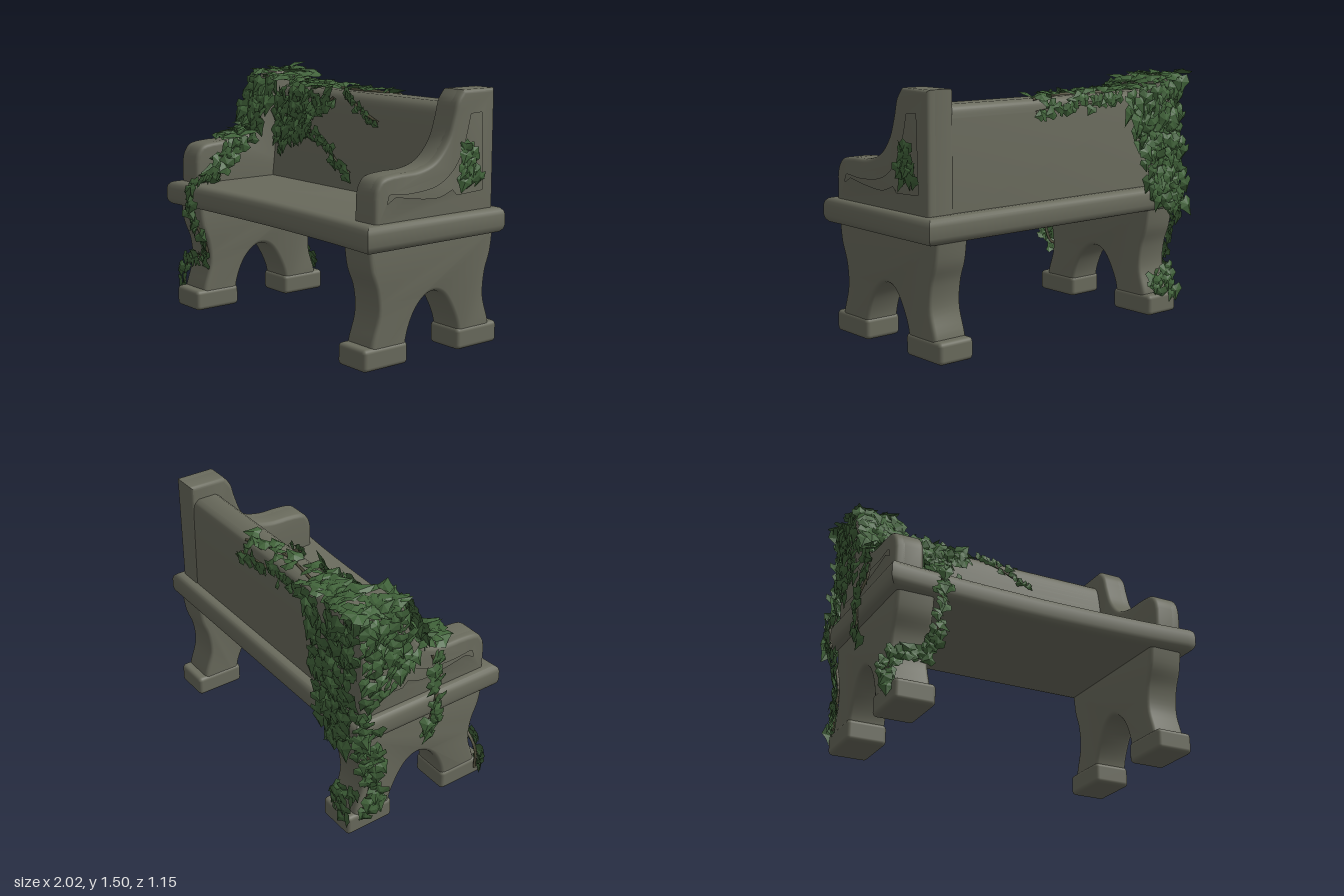
import * as THREE from 'three';
import { toCreasedNormals, mergeGeometries } from 'three/addons/utils/BufferGeometryUtils.js';
import { RoundedBoxGeometry } from 'three/addons/geometries/RoundedBoxGeometry.js';

const stone = new THREE.MeshStandardMaterial({ name: 'weathered stone', color: 0x6a6b5d });
const leafGreen = new THREE.MeshStandardMaterial({ name: 'ivy green', color: 0x41633a, side: THREE.DoubleSide, flatShading: true });
const stemBrown = new THREE.MeshStandardMaterial({ name: 'ivy stem', color: 0x55533f });

let seed = 7;
const rnd = () => (seed = (seed * 16807) % 2147483647) / 2147483647;
const jit = (a) => (rnd() * 2 - 1) * a;
const V = (p) => new THREE.Vector3(...p);

function mesh(name, geometry, material) {
  const m = new THREE.Mesh(geometry, material);
  m.name = name;
  return m;
}

// Outline entries are [a, b] corners, or lists of such points to pass a spline through
function trace(path, items, sign) {
  const pt = (p) => new THREE.Vector2(p[0] * sign, p[1]);
  items.forEach((it, i) => {
    const list = Array.isArray(it[0]) ? it : [it];
    if (i === 0) path.moveTo(pt(list[0]).x, list[0][1]);
    else path.lineTo(pt(list[0]).x, list[0][1]);
    if (list.length > 1) path.splineThru(list.slice(1).map(pt));
  });
  path.closePath();
  return path;
}

function extrude(shape, depth, bevel) {
  return new THREE.ExtrudeGeometry(shape, {
    depth: depth - 2 * bevel, bevelEnabled: true, bevelThickness: bevel, bevelSize: bevel,
    bevelOffset: -bevel, bevelSegments: 3, curveSegments: 4,
  }).translate(0, 0, bevel);
}

// Extrudes a side outline of [z, y] points from x0 to x1
function sideSolid(items, x0, x1, bevel, hole) {
  const shape = trace(new THREE.Shape(), items, -1);
  if (hole) shape.holes.push(trace(new THREE.Path(), hole, -1));
  const g = extrude(shape, x1 - x0, bevel).rotateY(Math.PI / 2).translate(x0, 0, 0);
  return toCreasedNormals(g, 0.65);
}

const legOutline = [
  [[0.45, 0.02], [0.44, 0.13], [0.395, 0.28], [0.405, 0.42], [0.45, 0.54], [0.47, 0.68]],
  [[-0.46, 0.68], [-0.44, 0.54], [-0.4, 0.42], [-0.39, 0.28], [-0.435, 0.13], [-0.44, 0.02]],
  [[-0.2, 0.02], [-0.185, 0.15], [-0.13, 0.27], [-0.07, 0.345], [0, 0.37],
    [0.07, 0.345], [0.14, 0.27], [0.19, 0.15], [0.205, 0.02]],
];
const armOutline = [
  [0.445, 0.77],
  [[0.445, 0.92], [0.43, 0.98], [0.385, 1.03], [0.28, 1.045], [0.14, 1.05], [0.02, 1.09],
    [-0.07, 1.19], [-0.115, 1.31], [-0.14, 1.4], [-0.185, 1.46]],
  [-0.42, 1.46], [-0.42, 0.77],
];
const panelOutline = [
  [0.38, 0.87],
  [[0.375, 0.94], [0.34, 0.965], [0.2, 0.955], [0.02, 0.975], [-0.1, 1.05], [-0.17, 1.17], [-0.22, 1.35]],
  [-0.34, 1.355], [-0.355, 0.88], [-0.13, 0.87],
  [[-0.1, 0.9], [0, 0.87], [0.15, 0.88], [0.3, 0.905]],
];

// Leaf rim, tip pointing down
const rim = [[0, 0.32], [0.34, 0.45], [0.5, 0.05], [0.26, -0.2], [0, -0.65], [-0.28, -0.18], [-0.5, 0.08], [-0.32, 0.42]];

function addLeaf(out, p, n, down, size) {
  const normal = n.clone().add(V([jit(0.4), jit(0.4), jit(0.4)])).normalize();
  const up = down.clone().negate().add(V([jit(0.6), jit(0.6), jit(0.6)]));
  up.addScaledVector(normal, -up.dot(normal)).normalize();
  const m = new THREE.Matrix4().makeBasis(up.clone().cross(normal), up, normal);
  const s = size * (0.75 + rnd() * 0.5);
  m.scale(V([s, s, s])).setPosition(p);
  const at = (a, z) => V([a[0], a[1], z]).applyMatrix4(m);
  const mid = at([0, 0], 0.14);
  rim.forEach((a, i) => {
    const b = rim[(i + 1) % rim.length];
    for (const v of [mid, at(b, 0), at(a, 0)]) out.push(v.x, v.y, v.z);
  });
}

function leafMesh(name, out) {
  const g = new THREE.BufferGeometry();
  g.setAttribute('position', new THREE.Float32BufferAttribute(out, 3));
  g.computeVertexNormals();
  return mesh(name, g, leafGreen);
}

// Scatters leaves over a four-cornered patch (a-b upper edge, d-c lower edge)
function patch(name, [a, b, c, d], n, count, size, lift = 0.035) {
  const out = [], normal = V(n).normalize();
  const down = V(d).sub(V(a)).normalize();
  for (let i = 0; i < count; i++) {
    const u = (i * 0.618) % 1, v = (i + rnd()) / count;
    const p = V(a).lerp(V(b), u).lerp(V(d).lerp(V(c), u), v);
    p.addScaledVector(normal, 0.008 + rnd() * lift);
    addLeaf(out, p, normal, down, size);
  }
  return leafMesh(name, out);
}

// A stem with leaves on both sides
function strand(name, pts, n, count, size, spread) {
  const g = new THREE.Group(), out = [], normal = V(n).normalize();
  g.name = name;
  const curve = new THREE.CatmullRomCurve3(pts.map(V));
  g.add(mesh('stem', new THREE.TubeGeometry(curve, 20, 0.009, 5), stemBrown));
  for (let i = 0; i < count; i++) {
    const t = (i + 0.5) / count, dir = curve.getTangentAt(t);
    const p = curve.getPointAt(t).addScaledVector(dir.clone().cross(normal), jit(spread));
    addLeaf(out, p.addScaledVector(normal, 0.008 + rnd() * 0.015), normal, dir, size);
  }
  g.add(leafMesh('strandLeaves', out));
  return g;
}

export function createModel() {
  const bench = new THREE.Group();
  bench.name = 'ivyBench';

  // Seat slab with a gently hollowed front edge
  const plan = trace(new THREE.Shape(), [
    [-0.955, 0.48], [[-0.955, -0.53], [-0.6, -0.505], [0, -0.485], [0.6, -0.5], [1, -0.53]], [1, 0.48],
  ], 1);
  const seat = extrude(plan, 0.15, 0.045).rotateX(-Math.PI / 2).translate(0, 0.645, 0);
  bench.add(mesh('seat', toCreasedNormals(seat, 0.65), stone));

  // Leaning backrest
  bench.add(mesh('backrest', sideSolid([
    [-0.135, 0.77], [[-0.16, 1.0], [-0.195, 1.25], [-0.22, 1.34], [-0.26, 1.375]],
    [[-0.37, 1.375], [-0.4, 1.35], [-0.41, 1.3]], [-0.415, 0.77],
  ], -0.78, 0.82, 0.012), stone));

  // Arched end supports, feet and armrests
  for (const [side, leg0, leg1, arm0, arm1] of [['right', -0.905, -0.665, -0.91, -0.735], ['left', 0.715, 0.945, 0.785, 0.96]]) {
    const end = new THREE.Group();
    end.name = side + 'End';
    end.add(mesh('archedLeg', sideSolid(legOutline, leg0 + 0.008, leg1 - 0.008, 0.022), stone));
    const feet = [0.345, -0.335].map((z) =>
      new RoundedBoxGeometry(leg1 - leg0, 0.125, 0.312, 3, 0.025).translate((leg0 + leg1) / 2, 0.0725 - 0.01, z));
    end.add(mesh('feet', mergeGeometries(feet), stone));
    const outer = side === 'left';
    end.add(mesh('armrest', sideSolid(armOutline, arm0 + (outer ? 0 : 0.025), arm1 - (outer ? 0.025 : 0), 0.025), stone));
    const rim0 = outer ? arm1 - 0.08 : arm0;
    end.add(mesh('armPanelFrame', sideSolid(armOutline, rim0, rim0 + 0.08, 0.022, panelOutline), stone));
    bench.add(end);
  }

  // Ivy masses
  const ivy = new THREE.Group();
  ivy.name = 'ivy';
  bench.add(ivy);
  ivy.add(
    patch('postTopIvy', [[-0.93, 1.44, -0.47], [-0.66, 1.41, -0.47], [-0.68, 1.41, -0.14], [-0.93, 1.42, -0.14]], [0, 1, 0], 46, 0.12),
    patch('postFrontIvy', [[-0.93, 1.4, -0.13], [-0.66, 1.4, -0.13], [-0.66, 1.09, 0.0], [-0.93, 1.09, 0.0]], [0, 0.4, 1], 46, 0.11),
    patch('backrestFrontIvy', [[-0.72, 1.36, -0.19], [-0.3, 1.35, -0.2], [-0.36, 1.1, -0.16], [-0.65, 0.95, -0.14]], [0, 0.15, 1], 85, 0.095, 0.05),
    patch('backrestTopIvy', [[-0.7, 1.385, -0.42], [-0.38, 1.375, -0.42], [-0.38, 1.375, -0.22], [-0.7, 1.385, -0.22]], [0, 1, 0], 22, 0.11, 0.015),
    patch('backIvy', [[-0.93, 1.42, -0.43], [-0.45, 1.36, -0.43], [-0.68, 0.68, -0.49], [-0.93, 0.66, -0.49]], [0, 0, -1], 125, 0.1, 0.05),
    patch('outerPostIvy', [[-0.915, 1.42, -0.43], [-0.915, 1.42, -0.16], [-0.915, 1.02, -0.05], [-0.915, 0.84, -0.43]], [-1, 0, 0], 55, 0.1),
    patch('armTopIvy', [[-0.9, 1.1, -0.02], [-0.7, 1.1, -0.02], [-0.68, 1.05, 0.24], [-0.85, 1.05, 0.24]], [0, 1, 0.1], 20, 0.11, 0.015),
    patch('innerArmIvy', [[-0.725, 1.05, 0.05], [-0.725, 1.04, 0.25], [-0.71, 0.83, 0.42], [-0.71, 0.88, 0.28]], [1, 0, 0], 20, 0.1),
    patch('rearFootIvy', [[-0.9, 0.28, -0.41], [-0.7, 0.24, -0.42], [-0.7, 0.13, -0.47], [-0.9, 0.1, -0.49]], [0, 0.2, -1], 16, 0.085, 0.02),
    patch('leftPanelIvy', [[0.95, 1.15, -0.19], [0.95, 1.15, -0.24], [0.95, 0.95, -0.31], [0.95, 0.95, -0.15]], [1, 0, 0], 24, 0.085, 0.015),
  );

  // Trailing strands
  ivy.add(
    strand('longFrontTrail', [[-0.36, 1.13, -0.14], [-0.2, 1.06, -0.14], [-0.06, 0.95, -0.13], [0.06, 0.9, -0.13]], [0, 0, 1], 18, 0.07, 0.035),
    strand('upperFrontTrail', [[-0.1, 1.375, -0.23], [0.02, 1.32, -0.19], [0.15, 1.26, -0.18], [0.27, 1.22, -0.17]], [0, 0, 1], 12, 0.06, 0.025),
    strand('shortFrontTrail', [[-0.33, 1.28, -0.19], [-0.26, 1.27, -0.18], [-0.18, 1.34, -0.2]], [0, 0, 1], 12, 0.085, 0.04),
    strand('topTrail', [[-0.4, 1.38, -0.36], [-0.1, 1.38, -0.32], [0.05, 1.38, -0.34], [0.22, 1.37, -0.4]], [0, 1, 0], 15, 0.09, 0.07),
    strand('rearTopTrail', [[-0.45, 1.34, -0.43], [-0.2, 1.33, -0.43], [0, 1.32, -0.43], [0.22, 1.3, -0.43]], [0, 0.2, -1], 24, 0.075, 0.05),
    strand('seatFrontTrail', [[-0.69, 0.84, 0.3], [-0.68, 0.81, 0.47], [-0.67, 0.77, 0.535], [-0.66, 0.62, 0.53], [-0.65, 0.46, 0.46]], [0, 0.5, 1], 24, 0.085, 0.04),
    strand('frontLegTrail', [[-0.65, 0.46, 0.45], [-0.68, 0.33, 0.41], [-0.83, 0.32, 0.41], [-0.92, 0.22, 0.42], [-0.92, 0.07, 0.43]], [-0.2, 0, 1], 32, 0.08, 0.04),
    strand('outerArmTrail', [[-0.92, 1.04, 0.05], [-0.93, 0.9, 0.1], [-0.965, 0.76, 0.05], [-0.955, 0.62, 0.02], [-0.92, 0.5, 0.0]], [-1, 0, 0], 22, 0.085, 0.045),
    strand('rearLegTrail', [[-0.93, 0.84, -0.42], [-0.965, 0.72, -0.42], [-0.93, 0.55, -0.38], [-0.915, 0.35, -0.34], [-0.915, 0.12, -0.4]], [-1, 0, -0.3], 40, 0.09, 0.07),
    strand('rearHangingTrail', [[-0.82, 0.95, -0.46], [-0.83, 0.78, -0.51], [-0.84, 0.64, -0.525]], [0, 0, -1], 14, 0.085, 0.04),
  );
  return bench;
}
